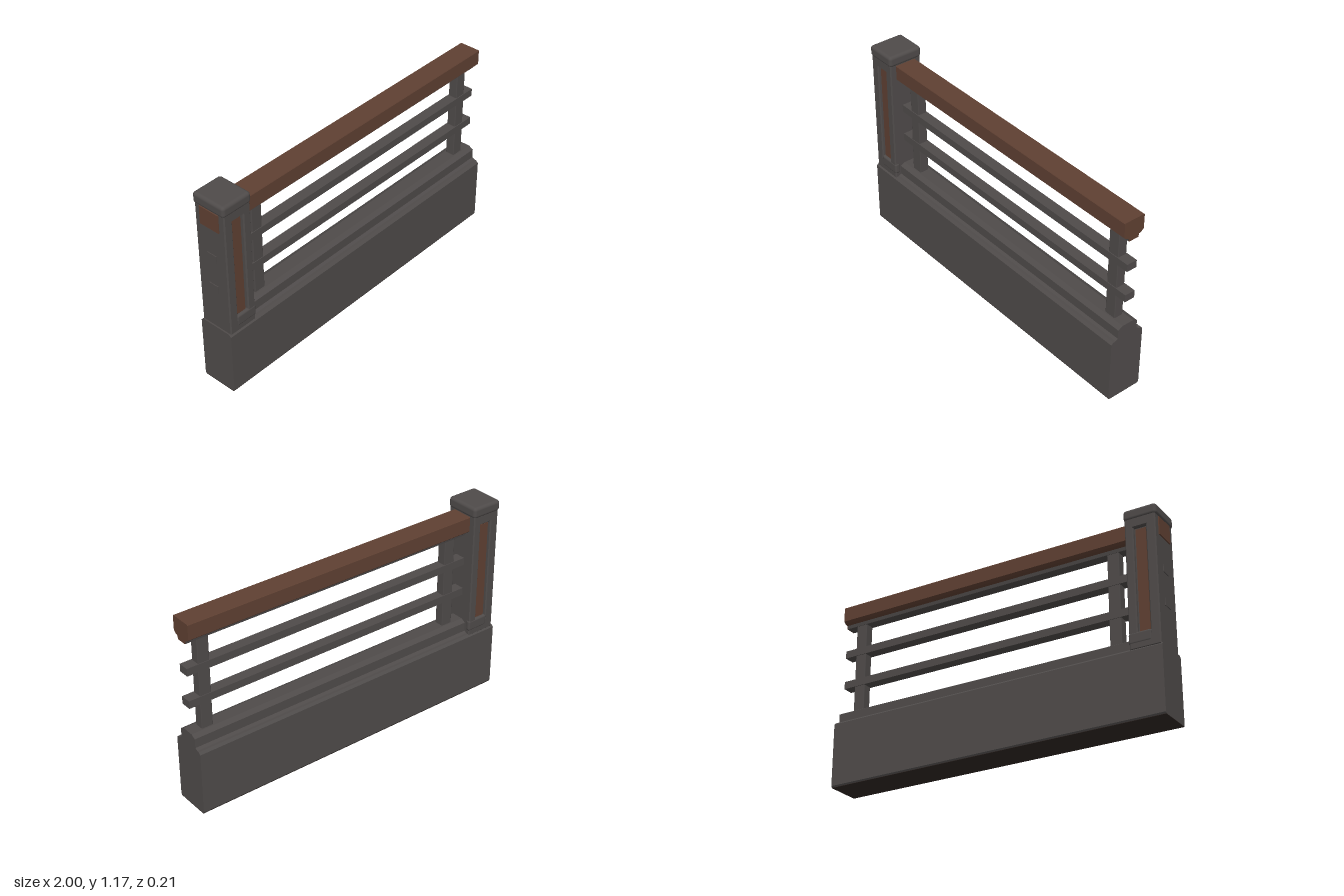
import * as THREE from 'three';
import { RoundedBoxGeometry } from 'three/addons/geometries/RoundedBoxGeometry.js';

export function createModel() {
  const model = new THREE.Group();
  model.name = 'railingSection';

  function material(name, color) {
    const m = new THREE.MeshStandardMaterial({ color });
    m.name = name;
    return m;
  }
  const steel = material('darkGrey', 0x4f4b4a);
  const wood = material('brownWood', 0x5f4032);
  const underside = material('blackBrown', 0x302724);

  function add(name, geometry, mat) {
    const mesh = new THREE.Mesh(geometry, mat);
    mesh.name = name;
    model.add(mesh);
    return mesh;
  }

  // Box given by its extents; a radius softens its edges
  function block(name, [x0, x1], [y0, y1], [z0, z1], mat, radius = 0, segments = 1) {
    const size = [x1 - x0, y1 - y0, z1 - z0];
    const g = radius ? new RoundedBoxGeometry(...size, segments, radius) : new THREE.BoxGeometry(...size);
    g.translate((x0 + x1) / 2, (y0 + y1) / 2, (z0 + z1) / 2);
    return add(name, g, mat);
  }

  // Symmetric profile of [half width, height] points, bottom to top, run along x
  function run(name, half, x0, x1, mat) {
    const right = half.map(([z, y]) => new THREE.Vector2(z, y));
    const left = half.map(([z, y]) => new THREE.Vector2(-z, y)).reverse();
    const g = new THREE.ExtrudeGeometry(new THREE.Shape([...right, ...left]), { depth: x1 - x0, bevelEnabled: false });
    g.rotateY(Math.PI / 2);
    g.translate(x0, 0, 0);
    return add(name, g, mat);
  }

  function rectangle(PathType, x0, x1, y0, y1) {
    return new PathType([[x0, y0], [x1, y0], [x1, y1], [x0, y1]].map(([x, y]) => new THREE.Vector2(x, y)));
  }

  // Base wall, its dark underside and the stepped curb on top
  run('baseWall', [[0.1, 0.002], [0.105, 0.01], [0.105, 0.37], [0.092, 0.382]], -1, 1, steel);
  block('baseUnderside', [-1, 1], [0, 0.003], [-0.1, 0.1], underside);
  run('curb', [[0.085, 0.375], [0.078, 0.384], [0.063, 0.392], [0.063, 0.445],
    [0.05, 0.452], [0.036, 0.46]], -0.99, 1, steel);

  // Wooden handrail over a narrow steel channel, with wooden ends
  const channel = [[0.03, 0.986], [0.034, 1.006]];
  run('handrail', [[0.034, 1.005], [0.05, 1.011], [0.063, 1.022], [0.063, 1.104], [0.06, 1.108]], -0.99, 1, wood);
  run('handrailChannel', channel, -0.985, 0.997, steel);
  run('channelEnd', channel, 0.997, 1, wood);
  block('handrailEndPlate', [-0.998, -0.99], [1.003, 1.108], [-0.063, 0.063], wood);

  // Horizontal bars and upright balusters
  for (const y of [0.633, 0.823]) {
    block('horizontalBar', [-0.996, 1], [y - 0.022, y + 0.022], [-0.031, 0.031], steel);
  }
  for (const x of [-0.71, 0.898]) {
    block('baluster', [x - 0.034, x + 0.034], [0.45, 1.0], [-0.027, 0.027], steel, 0.004);
  }

  // Post with a recessed opening on its front and back
  const outline = rectangle(THREE.Shape, -0.992, -0.818, 0.375, 1.13);
  outline.holes.push(rectangle(THREE.Path, -0.938, -0.866, 0.45, 1.06));
  const bevel = 0.006;
  const post = new THREE.ExtrudeGeometry(outline, {
    depth: 0.2 - 2 * bevel, bevelThickness: bevel, bevelSize: bevel, bevelOffset: -bevel, bevelSegments: 1,
  });
  post.translate(0, 0, -0.1 + bevel);
  add('post', post, steel);
  block('postCore', [-0.95, -0.855], [0.44, 1.075], [-0.08, 0.08], steel);
  block('postCap', [-1, -0.812], [1.108, 1.172], [-0.105, 0.105], steel, 0.018, 3);

  // Wood inlay and sill on each face of the post
  for (const side of [1, -1]) {
    const zRange = (a, b) => (side > 0 ? [a, b] : [-b, -a]);
    block('postInlay', [-0.932, -0.874], [0.455, 1.052], zRange(0.06, 0.086), wood);
    block('postSill', [-0.945, -0.814], [0.405, 0.47], zRange(0.07, 0.102), steel, 0.012, 2);
  }

  return model;
}
